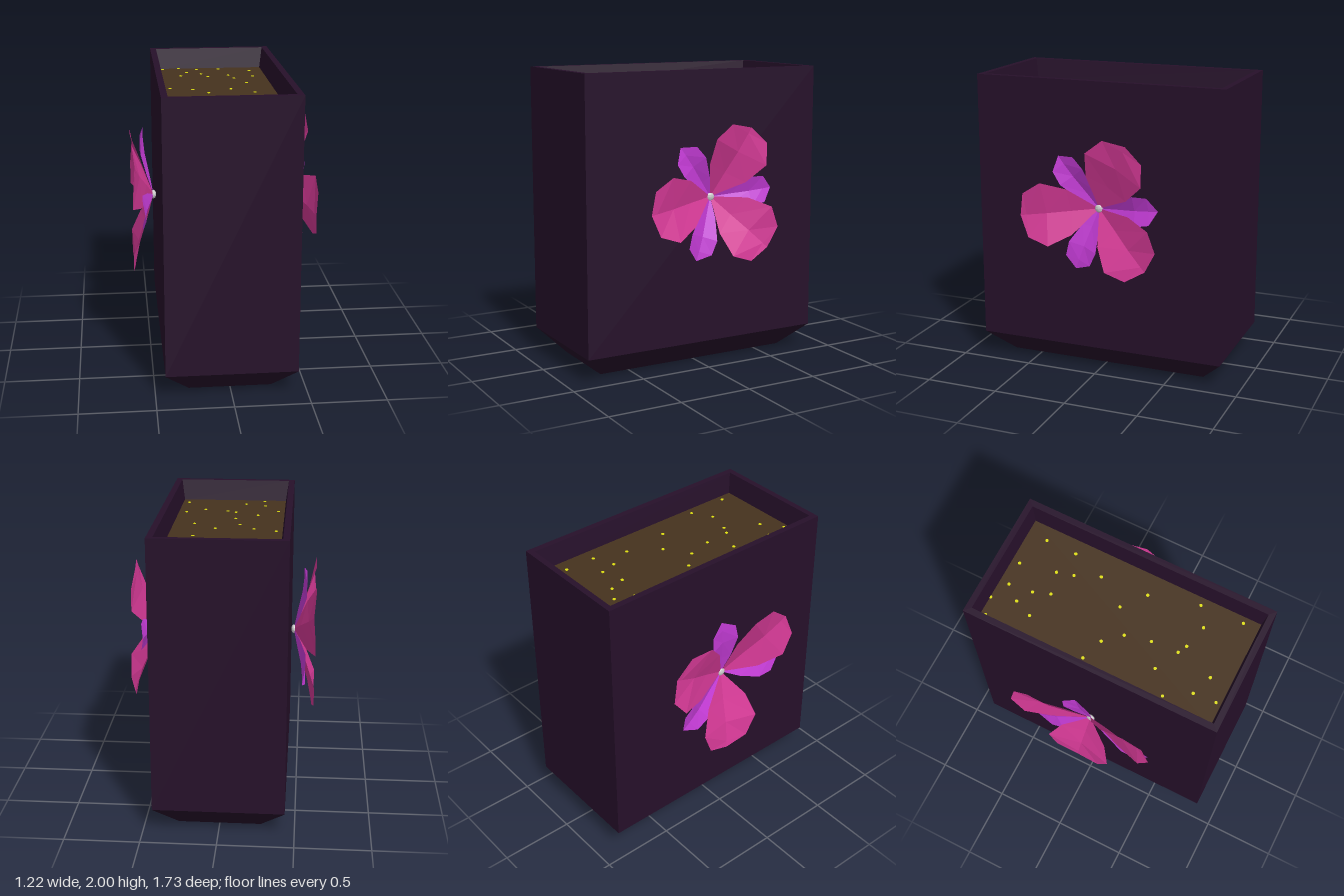
import * as THREE from 'three';

const paint = (color, side = THREE.FrontSide) =>
  new THREE.MeshStandardMaterial({ color, side, flatShading: true });

function add(parent, name, geometry, material) {
  const mesh = new THREE.Mesh(geometry, material);
  mesh.name = name;
  parent.add(mesh);
  return mesh;
}

function facets(positions, index) {
  const g = new THREE.BufferGeometry();
  g.setAttribute('position', new THREE.Float32BufferAttribute(positions, 3));
  g.setIndex(index);
  const flat = g.toNonIndexed();
  flat.computeVertexNormals();
  return flat;
}

// Stacked rectangular rings [halfX, halfZ, y], joined by quads, closed at the first ring
function ringShell(rings) {
  const positions = [], index = [0, 2, 1, 0, 3, 2];
  for (const [x, z, y] of rings) positions.push(x, y, z, x, y, -z, -x, y, -z, -x, y, z);
  for (let r = 0; r < rings.length - 1; r++) {
    for (let i = 0; i < 4; i++) {
      const a = r * 4 + i, b = r * 4 + (i + 1) % 4;
      index.push(a, b, b + 4, a, b + 4, a + 4);
    }
  }
  return facets(positions, index);
}

// Cupped petal along +x; rows are [along, halfWidth, edgeHeight, middleHeight]
function petalGeometry(rows, tip) {
  const positions = [0, 0, 0], index = [];
  for (const [a, w, edge, mid] of rows) positions.push(a, -w, edge, a, 0, mid, a, w, edge);
  positions.push(tip[0], 0, tip[1]);
  const last = rows.length * 3 + 1;
  for (let c = 0; c < 2; c++) {
    index.push(0, 1 + c, 2 + c);
    for (let r = 0; r < rows.length - 1; r++) {
      const p = 1 + r * 3 + c;
      index.push(p, p + 3, p + 4, p, p + 4, p + 1);
    }
    index.push(last - 3 + c, last, last - 2 + c);
  }
  return facets(positions, index);
}

const largePetal = petalGeometry(
  [[0.18, 0.155, 0.09, 0.05], [0.337, 0.215, 0.15, 0.10], [0.472, 0.15, 0.148, 0.128]], [0.514, 0.135]);
const smallPetal = petalGeometry(
  [[0.13, 0.06, 0.045, 0.025], [0.27, 0.1, 0.085, 0.055], [0.37, 0.09, 0.085, 0.065]], [0.435, 0.065]);

function makeFlower(name, largeAngles, smallAngles, scale) {
  const flower = new THREE.Group();
  flower.name = name;
  const pink = paint(0xd83a98, THREE.DoubleSide), purple = paint(0xc63cd8, THREE.DoubleSide);
  const ring = (label, angles, geometry, material) => angles.forEach((deg) => {
    const petal = add(flower, label, geometry, material);
    petal.rotation.z = THREE.MathUtils.degToRad(deg);
    petal.scale.set(scale, scale, 1);
  });
  ring('largePetal', largeAngles, largePetal, pink);
  ring('smallPetal', smallAngles, smallPetal, purple);
  const centre = add(flower, 'flowerCentre', new THREE.SphereGeometry(0.03, 12, 8), paint(0xdddddd));
  centre.scale.z = 0.6;
  return flower;
}

export function createModel() {
  const model = new THREE.Group();
  model.name = 'planter';

  // Box with a chamfered foot and a recessed top
  add(model, 'planterBox', ringShell([
    [0.275, 0.705, 0], [0.435, 0.865, 0.165], [0.435, 0.865, 2],
    [0.393, 0.825, 2], [0.373, 0.803, 1.85],
  ]), paint(0x26102a));

  // Soil
  const soilY = 1.855;
  const soil = add(model, 'soil', new THREE.PlaneGeometry(0.75, 1.61), paint(0x46321e));
  soil.rotation.x = -Math.PI / 2;
  soil.position.y = soilY;

  // Scattered seeds, x and z
  const seeds = [
    [-0.35, -0.77], [-0.23, -0.8], [-0.1, -0.74], [0.06, -0.75], [0.28, -0.67], [-0.18, -0.64],
    [-0.08, -0.58], [-0.23, -0.52], [0.11, -0.51], [-0.04, -0.47], [0.28, -0.46], [0.14, -0.4],
    [0.21, -0.24], [-0.33, -0.09], [-0.18, -0.04], [0.08, -0.04], [-0.08, 0.07], [0.23, 0.08],
    [-0.04, 0.24], [-0.19, 0.34], [-0.03, 0.42], [0.03, 0.45], [-0.33, 0.46], [0.19, 0.49],
    [0.32, 0.41], [-0.23, 0.62], [-0.09, 0.67], [0.33, 0.7], [-0.22, 0.77],
  ];
  const seedGeometry = new THREE.CylinderGeometry(0.011, 0.011, 0.004, 8);
  const seedPaint = paint(0xe0e010);
  for (const [x, z] of seeds) {
    add(model, 'seed', seedGeometry, seedPaint).position.set(x, soilY + 0.002, z);
  }

  // One flower on each broad side
  const left = makeFlower('leftFlower', [63, 187, 316], [127, 5, 251], 1);
  left.position.set(0.46, 1.165, -0.025);
  left.rotation.y = Math.PI / 2;
  const right = makeFlower('rightFlower', [36, 153, 265], [98, 215, 355], 1.07);
  right.position.set(-0.46, 1.14, 0.01);
  right.rotation.y = -Math.PI / 2;
  model.add(left, right);
  return model;
}
